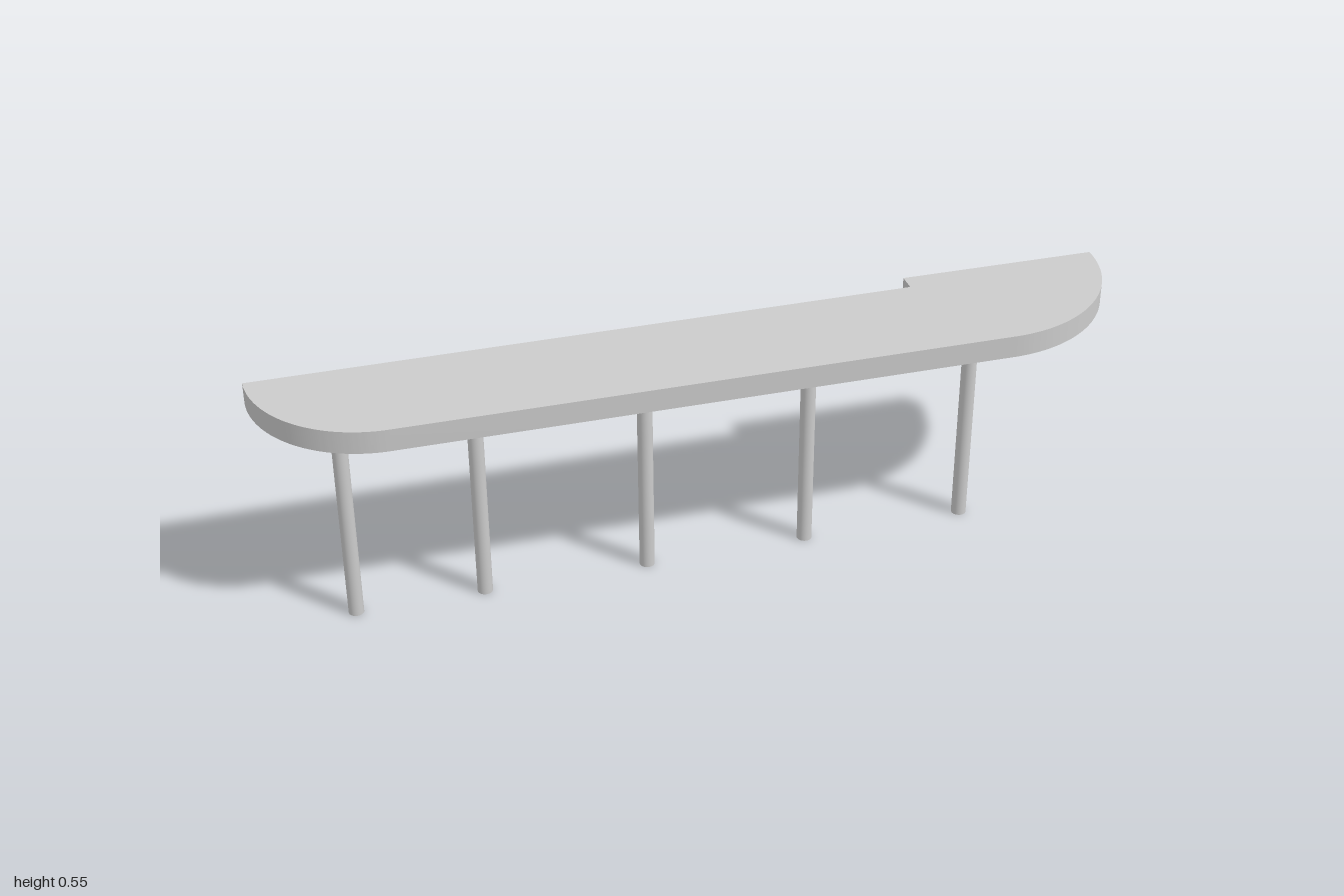
import * as THREE from 'three';
import { toCreasedNormals } from 'three/addons/utils/BufferGeometryUtils.js';

export function createModel() {
  const model = new THREE.Group();
  model.name = 'counter';
  const material = new THREE.MeshStandardMaterial({ color: 0xcccccc });
  const legHeight = 0.5, thickness = 0.053;

  // Top outline, drawn as (x, z): two rounded front corners and a stepped back edge
  const outline = new THREE.Shape();
  outline.moveTo(1, -0.163);
  outline.absarc(0.674, -0.163, 0.326, 0, Math.PI / 2, false);
  outline.lineTo(-0.727, 0.163);
  outline.absarc(-0.727, -0.11, 0.273, Math.PI / 2, Math.PI, false);
  outline.lineTo(0.53, -0.118);
  outline.lineTo(0.53, -0.163);
  outline.closePath();

  const slab = new THREE.ExtrudeGeometry(outline, { depth: thickness, bevelEnabled: false, curveSegments: 32 });
  slab.rotateX(Math.PI / 2).translate(0, legHeight + thickness, 0);
  const top = new THREE.Mesh(toCreasedNormals(slab, 0.5), material);
  top.name = 'counterTop';
  model.add(top);

  // Row of round legs
  const legGeometry = new THREE.CylinderGeometry(0.0175, 0.0175, legHeight, 32);
  [-0.82, -0.525, -0.143, 0.24, 0.63].forEach((x, i) => {
    const leg = new THREE.Mesh(legGeometry, material);
    leg.name = `leg${i + 1}`;
    leg.position.set(x, legHeight / 2, 0.021);
    model.add(leg);
  });

  return model;
}
